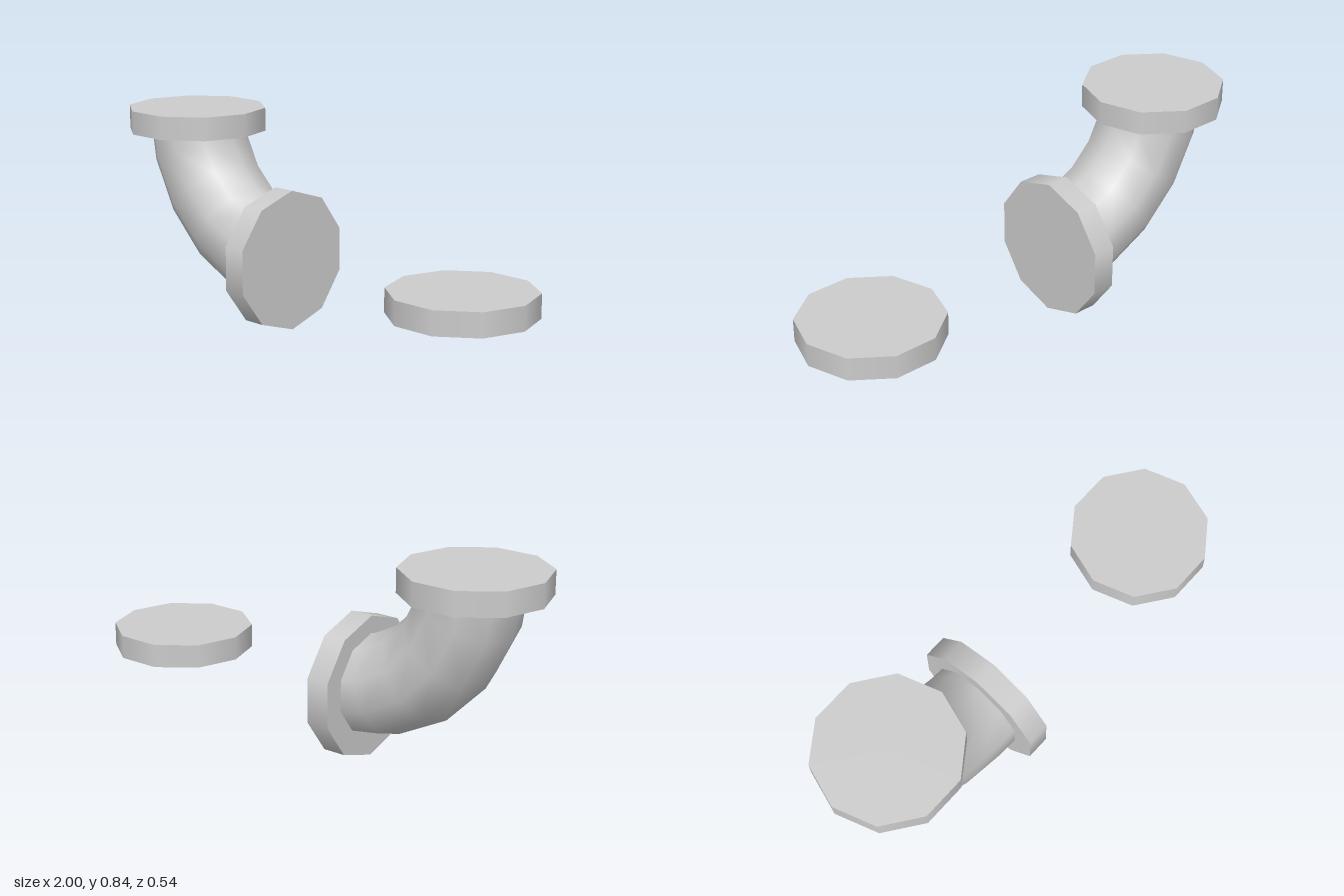
import * as THREE from 'three';

export function createModel() {
  const group = new THREE.Group();
  const grey = new THREE.MeshStandardMaterial({ color: 0xcccccc });
  grey.name = 'light grey';
  const pipeGrey = grey.clone();
  pipeGrey.side = THREE.DoubleSide;

  // Ten-sided plate, corners pointing along x
  const plate = new THREE.CylinderGeometry(0.285, 0.285, 0.095, 10, 1, false, Math.PI / 2);
  const addPlate = (name, x, y, tilt = 0) => {
    const mesh = new THREE.Mesh(plate, grey);
    mesh.name = name;
    mesh.position.set(x, y, 0);
    mesh.rotation.z = tilt;
    group.add(mesh);
  };
  addPlate('topFlange', -0.715, 0.796);
  addPlate('sideFlange', -0.208, 0.286, -Math.PI / 2);
  addPlate('loosePlate', 0.715, 0.288);

  // Quarter-turn pipe, its open ends buried in the flanges
  const elbow = new THREE.Mesh(new THREE.TorusGeometry(0.555, 0.2, 10, 5, Math.PI / 2), pipeGrey);
  elbow.name = 'elbowPipe';
  elbow.rotation.z = Math.PI;
  elbow.position.set(-0.161, 0.842, 0);
  group.add(elbow);

  return group;
}
